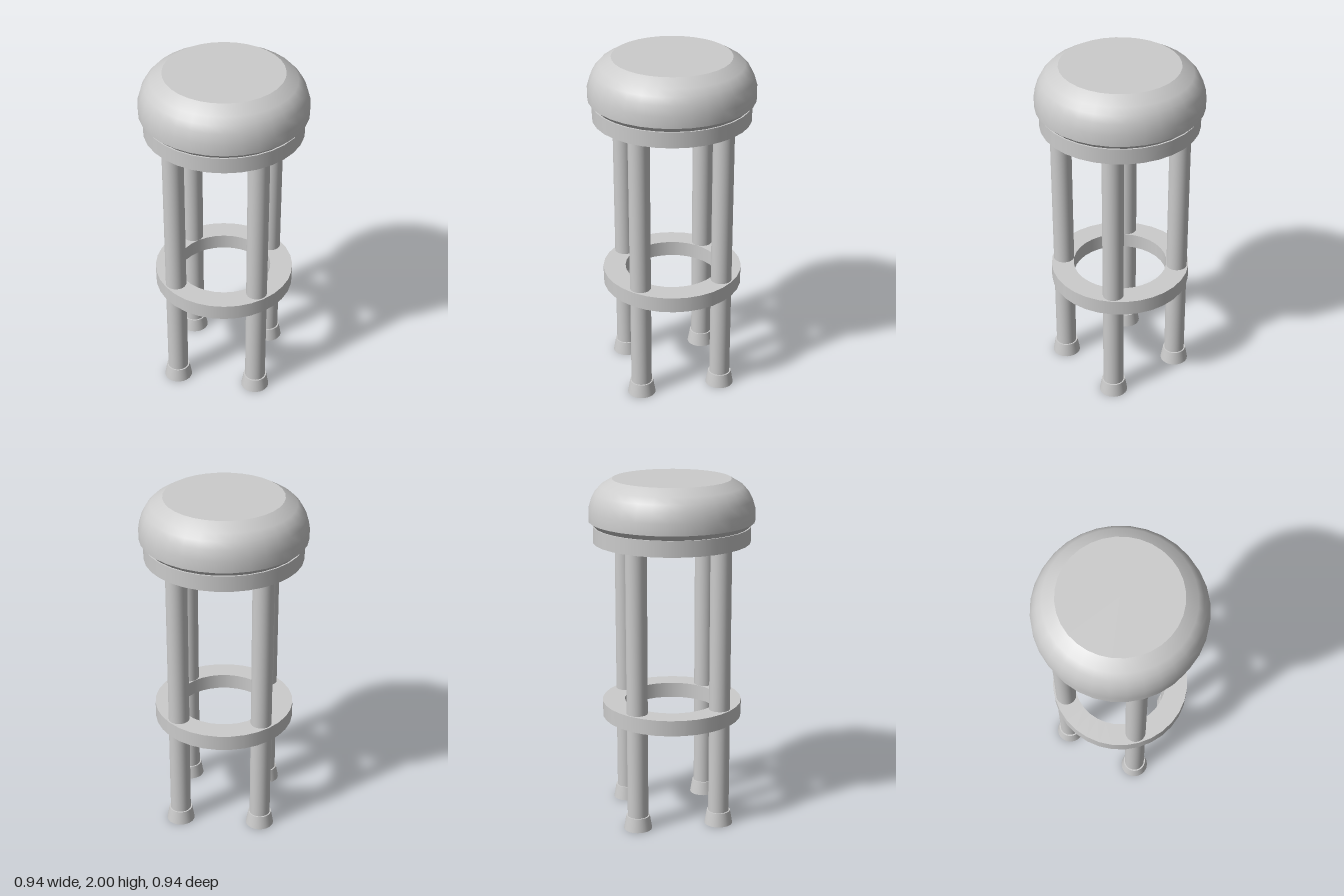
import * as THREE from 'three';

const SIDES = 32;
const material = new THREE.MeshStandardMaterial({ color: 0xcccccc });

function addMesh(parent, name, geometry, y = 0) {
  const mesh = new THREE.Mesh(geometry, material);
  mesh.name = name;
  mesh.position.y = y;
  parent.add(mesh);
  return mesh;
}

// Turned surface; profile runs bottom to top as [radius, y]
function turned(profile) {
  return new THREE.LatheGeometry(profile.map(([r, y]) => new THREE.Vector2(r, y)), SIDES);
}

// Padded seat: separate strips keep the rims crisp
function createSeat() {
  const seat = new THREE.Group();
  seat.name = 'seat';
  addMesh(seat, 'seatBase', new THREE.CylinderGeometry(0.447, 0.447, 0.09, SIDES), 1.69);
  addMesh(seat, 'cushionUnderside', turned([[0, 1.735], [0.438, 1.735], [0.468, 1.765]].slice(1)));
  addMesh(seat, 'cushionSide', turned([
    [0.47, 1.765], [0.47, 1.83], [0.453, 1.887], [0.433, 1.925], [0.402, 1.96], [0.335, 2],
  ]));
  const top = addMesh(seat, 'cushionTop', new THREE.CircleGeometry(0.335, SIDES), 2);
  top.rotation.x = -Math.PI / 2;
  return seat;
}

// Straight round leg with a flared foot
function createLeg() {
  const leg = new THREE.Group();
  leg.name = 'leg';
  addMesh(leg, 'legPost', new THREE.CylinderGeometry(0.06, 0.06, 1.6, SIDES), 0.85);
  addMesh(leg, 'foot', new THREE.CylinderGeometry(0.068, 0.082, 0.08, SIDES), 0.04);
  return leg;
}

// Flat ring with a square section
function createFootRing() {
  const [inner, outer, low, high] = [0.275, 0.405, 0.615, 0.705];
  const corners = [[inner, low], [outer, low], [outer, high], [inner, high]];
  const ring = new THREE.Group();
  ring.name = 'footRing';
  const names = ['ringBottom', 'ringOuterWall', 'ringTop', 'ringInnerWall'];
  names.forEach((name, i) => addMesh(ring, name, turned([corners[i], corners[(i + 1) % 4]])));
  return ring;
}

export function createModel() {
  const stool = new THREE.Group();
  stool.name = 'stool';
  stool.add(createSeat(), createFootRing());

  // Four legs: front, left, back and right
  for (let i = 0; i < 4; i++) {
    const angle = (i * Math.PI) / 2;
    const leg = createLeg();
    leg.position.set(Math.sin(angle) * 0.336, 0, Math.cos(angle) * 0.336);
    stool.add(leg);
  }
  return stool;
}
